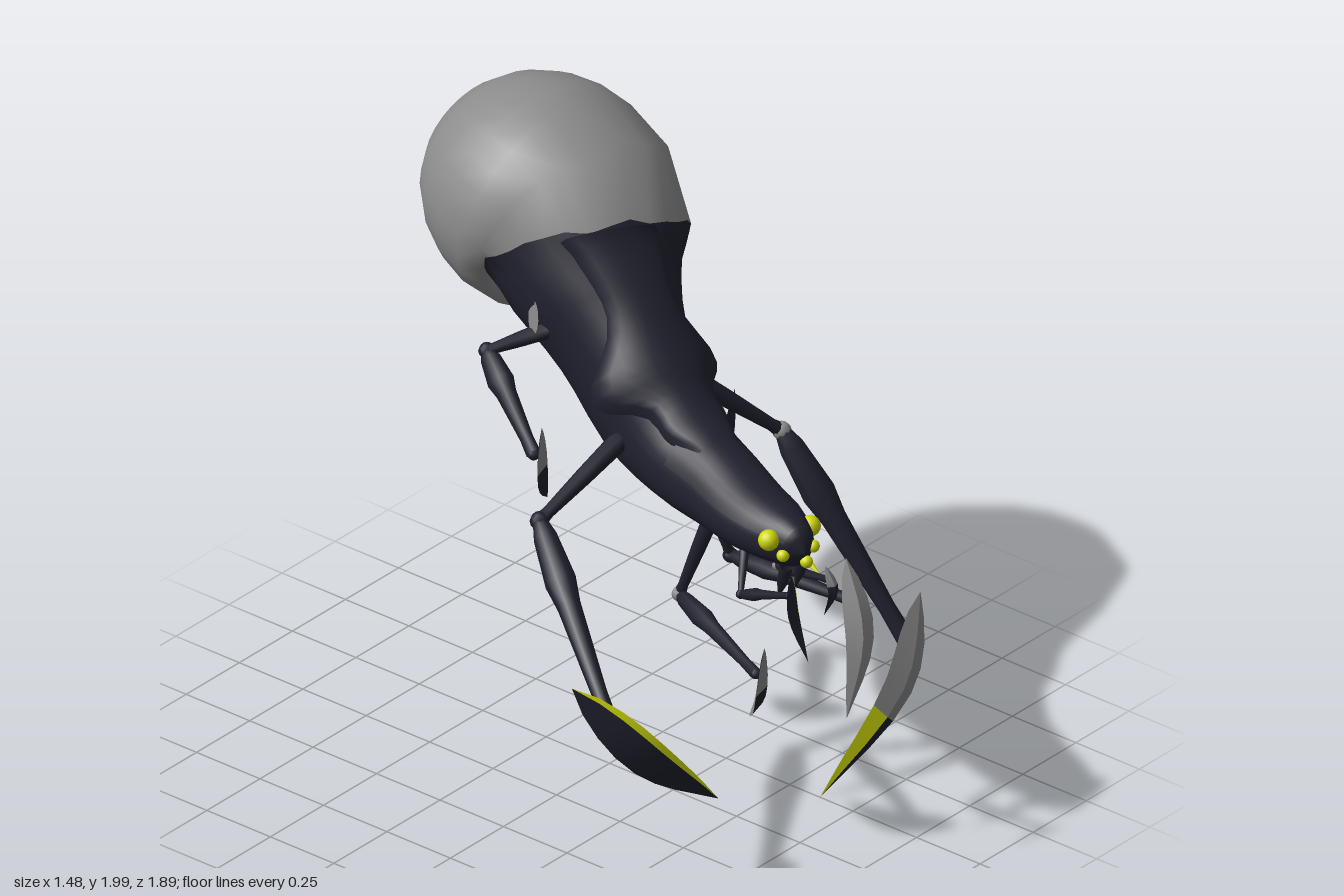
import * as THREE from 'three';

const paint = (name, color) => {
  const m = new THREE.MeshStandardMaterial({ color, side: THREE.DoubleSide });
  m.name = name;
  return m;
};
const V = (x, y, z) => new THREE.Vector3(x, y, z);
const UP = V(0, 1, 0);

export function createModel() {
  const model = new THREE.Group();
  model.name = 'insect';
  const mats = { d: paint('dark shell', 0x20212e), g: paint('grey', 0x8c8c8c), y: paint('yellow', 0xd0da06) };
  const keys = Object.keys(mats);
  const palette = Object.values(mats);

  const add = (parent, name, geo, mat) => {
    const m = new THREE.Mesh(geo, mat);
    m.name = name;
    parent.add(m);
    return m;
  };

  // Sheet f(rowFraction, colFraction), coloured row by row
  function sheet(parent, name, f, rows, cols, closed, colourOf) {
    const pos = [], idx = [], geo = new THREE.BufferGeometry();
    const n = closed ? cols : cols + 1;
    for (let r = 0; r <= rows; r++)
      for (let c = 0; c < n; c++) pos.push(...f(r / rows, c / cols).toArray());
    for (let r = 0; r < rows; r++) {
      geo.addGroup(idx.length, cols * 6, keys.indexOf(colourOf(r)));
      for (let c = 0; c < cols; c++) {
        const a = r * n + c, b = r * n + ((c + 1) % n);
        idx.push(a, b, a + n, b, b + n, a + n);
      }
    }
    geo.setAttribute('position', new THREE.Float32BufferAttribute(pos, 3));
    geo.setIndex(idx);
    geo.computeVertexNormals();
    add(parent, name, geo, palette);
  }

  // Body sections: centre, half width, half height, from the head backwards
  const centres = [], sizes = [];
  const section = (x, y, z, w, h) => {
    centres.push(V(x, y, z));
    sizes.push(V(w, h, 0));
  };
  section(-0.085, 1.085, 0.84, 0, 0);
  section(-0.07, 1.09, 0.8, 0.058, 0.068);
  section(-0.035, 1.09, 0.68, 0.105, 0.093);
  section(0.0, 1.09, 0.55, 0.122, 0.11);
  section(0.05, 1.1, 0.4, 0.13, 0.135);
  section(0.1, 1.12, 0.22, 0.145, 0.16);
  section(0.15, 1.2, 0.04, 0.16, 0.22);
  section(0.21, 1.35, -0.13, 0.2, 0.235);
  section(0.27, 1.49, -0.28, 0.28, 0.265);
  // Round abdomen
  for (let k = 0; k <= 5; k++) {
    const q = -0.36 + k * (Math.PI / 2 + 0.36) / 5, s = Math.sin(q), r = 0.375 * Math.cos(q);
    section(0.355 + 0.05 * s, 1.64 + 0.1 * s, -0.54 - 0.39 * s, r, r * 0.96);
  }
  const last = centres.length - 1;
  const spine = new THREE.CatmullRomCurve3(centres);
  const girth = new THREE.CatmullRomCurve3(sizes, false, 'catmullrom', 0.5);

  // Point on the body: u counts sections, a is the angle from the top
  function bodyPoint(u, a, wide = 1, tall = 1) {
    const t = Math.min(u / last, 1);
    const tan = spine.getTangent(t);
    const right = V(0, 0, 0).crossVectors(tan, UP).normalize();
    const up = V(0, 0, 0).crossVectors(right, tan);
    const r = girth.getPoint(t);
    return spine.getPoint(t)
      .addScaledVector(right, r.x * wide * Math.sin(a))
      .addScaledVector(up, r.y * tall * Math.cos(a));
  }

  // Body with a ragged border between dark thorax and grey abdomen
  const border = (a) => 8.52 - 0.2 * Math.cos(a) + 0.04 * Math.sin(7 * a) + 0.03 * Math.sin(11 * a);
  const darkRows = 26, greyRows = 8;
  sheet(model, 'body', (t, c) => {
    const a = c * Math.PI * 2, r = t * (darkRows + greyRows), b = border(a);
    return bodyPoint(r <= darkRows ? b * r / darkRows : b + (last - b) * (r - darkRows) / greyRows, a);
  }, darkRows + greyRows, 28, true, (r) => (r < darkRows ? 'd' : 'g'));

  // Raised back plate with flared shoulders and a lifted front lip
  sheet(model, 'backPlate', (t, c) => {
    const u = 4.05 + 4.2 * t, v = c * 2 - 1;
    const flare = Math.exp(-(((u - 6.15) / 0.55) ** 2));
    const lip = 0.13 * Math.exp(-(((u - 4.9) / 0.6) ** 2));
    const lift = Math.abs(v) > 0.99 || t === 0 ? 0.98 : 1.08 + lip;
    return bodyPoint(u, v * (0.55 + 0.75 * flare + 2 * lip), lift + 0.36 * flare, lift);
  }, 18, 12, false, () => 'd');

  // Head hood
  sheet(model, 'headHood', (t, c) => bodyPoint(0.95 + 3.7 * t, (c * 2 - 1) * 1.2, 1.03, 1.06),
    10, 12, false, () => 'd');

  // Grey patch on the flank
  const patch = add(model, 'sidePatch', new THREE.CircleGeometry(0.058, 14), mats.g);
  patch.position.copy(bodyPoint(7.6, -1.5, 1.03, 1.03));
  patch.lookAt(bodyPoint(7.6, -1.5, 2, 2));
  patch.scale.x = 0.5;

  // Eyes
  const eye = (r, x, y, z) =>
    add(model, 'eye', new THREE.SphereGeometry(r, 14, 10), mats.y).position.set(x, y, z);
  eye(0.033, -0.135, 1.12, 0.74);
  eye(0.033, 0.012, 1.12, 0.78);
  eye(0.02, -0.122, 1.077, 0.785);
  eye(0.02, -0.027, 1.083, 0.825);
  eye(0.02, -0.065, 1.047, 0.83);

  // Tapered limb segment between two points
  function segment(parent, name, p, q, profile, radius, mat) {
    const d = q.clone().sub(p), len = d.length();
    const pts = profile.map(([t, r]) => new THREE.Vector2(r * radius, t * len));
    const m = add(parent, name, new THREE.LatheGeometry(pts, 8), mat);
    m.position.copy(p);
    m.quaternion.setFromUnitVectors(UP, d.normalize());
  }
  const thigh = [[0, 0.6], [0.12, 1], [0.5, 0.85], [0.9, 0.6], [1, 0.75]];
  const shin = [[0, 0.45], [0.08, 0.75], [0.3, 1], [0.42, 0.75], [0.85, 0.5], [1, 0.55]];

  // Curved blade foot: a ridge splits the front into two bevels, the back is shallow
  function blade(parent, curve, n, width, ridge, [bevelA, bevelB, back]) {
    const face = (name, from, to, crest, height, colours) =>
      sheet(parent, name, (t, c) => {
        const v = from + (to - from) * c;
        const side = V(0, 0, 0).crossVectors(curve.getTangent(t), n).normalize();
        const w = width * Math.max(0, Math.sin(Math.PI * t ** 0.8));
        const rise = v < crest ? (v + 1) / (crest + 1) : (1 - v) / (1 - crest);
        return curve.getPoint(t).addScaledVector(side, w * v).addScaledVector(n, w * height * rise);
      }, 8, 2, false, (r) => colours[r]);
    face('bladeBevel', -1, ridge, ridge, 0.4, bevelA);
    face('bladeBevel', ridge, 1, ridge, 0.4, bevelB);
    face('bladeBack', 1, -1, 0, -0.2, back);
  }

  // Limb: thigh, shin ending behind the blade, and the blade itself
  function limb(name, [hip, knee], path, facing, [thighR, shinR, bladeW], ridge, colours, kneeColour = 'd') {
    const g = new THREE.Group();
    g.name = name;
    model.add(g);
    const curve = new THREE.CatmullRomCurve3(path), n = facing.normalize();
    const ankle = curve.getPoint(0.28).addScaledVector(n, -0.55 * shinR);
    segment(g, 'thigh', hip, knee, thigh, thighR, mats.d);
    segment(g, 'shin', knee, ankle, shin, shinR, mats.d);
    add(g, 'knee', new THREE.SphereGeometry(thighR * 0.95, 8, 6), mats[kneeColour]).position.copy(knee);
    add(g, 'ankle', new THREE.SphereGeometry(shinR * 0.5, 8, 6), mats.d).position.copy(ankle);
    blade(g, curve, n, bladeW, ridge, colours);
  }
  // Blade colours run from heel to tip: bevel, bevel, back
  const D = 'dddddddd', G = 'gggggggg', Y = 'yyyyyyyy', greyHeel = 'gggddddd';
  const rear = [0.028, 0.042, 0.052], middle = [0.026, 0.034, 0.053], palp = [0.016, 0.021, 0.025];

  limb('rightFrontLeg', [V(0.02, 1.17, 0.05), V(-0.33, 1, 0)],
    [V(-0.74, 0.77, 0.47), V(-0.57, 0.51, 0.63), V(-0.3, 0.27, 0.68)],
    V(-0.2, -0.3, 0.9), [0.032, 0.05, 0.064], -0.7, [Y, D, 'yygggggg']);
  limb('leftFrontLeg', [V(0.27, 1.28, 0.03), V(0.56, 1, 0.21)],
    [V(0.735, 0.51, 0.61), V(0.55, 0.29, 0.68), V(0.25, 0.01, 0.62)],
    V(-0.22, -0.2, 1), [0.032, 0.055, 0.078], 0.1, ['gggggddd', 'gggggyyy', D], 'g');
  limb('leftRearLeg', [V(0.45, 1.46, -0.15), V(0.64, 1.25, -0.53)],
    [V(0.53, 1.1, 0.05), V(0.46, 0.9, 0.06), V(0.41, 0.72, 0)],
    V(0.3, -0.1, 1), rear, 0, [D, D, Y]);
  limb('rightRearLeg', [V(0.04, 1.42, -0.25), V(-0.04, 1.3, -0.45)],
    [V(-0.2, 1.23, -0.1), V(-0.13, 1.02, -0.16), V(-0.03, 0.87, -0.22)],
    V(0.5, 0, 1), rear, 0, [greyHeel, greyHeel, D]);
  limb('leftMiddleLeg', [V(0.18, 1.02, 0.2), V(0.27, 0.71, 0.25)],
    [V(0.24, 0.89, 0.73), V(0.15, 0.7, 0.86), V(0.04, 0.48, 0.9)],
    V(-0.3, 0.2, 1), middle, 0, [G, G, D]);
  limb('rightMiddleLeg', [V(0.06, 1.02, 0.37), V(0.03, 0.68, 0.25)],
    [V(-0.18, 0.77, 0.76), V(-0.12, 0.56, 0.69), V(0, 0.38, 0.55)],
    V(0.45, -0.2, 0.9), middle, 0, [greyHeel, greyHeel, 'dddggggg'], 'g');
  limb('rightPalp', [V(-0.08, 1.03, 0.6), V(-0.16, 0.91, 0.65)],
    [V(-0.21, 1.09, 0.89), V(-0.21, 0.95, 0.9), V(-0.2, 0.8, 0.95)],
    V(0, 0, 1), palp, -0.5, ['yyyydddd', D, D]);
  limb('leftPalp', [V(0.06, 1.03, 0.66), V(0.07, 0.89, 0.6)],
    [V(0, 1.01, 0.85), V(-0.01, 0.94, 0.89), V(-0.03, 0.86, 0.87)],
    V(0, 0, 1), palp, 0, [greyHeel, greyHeel, 'yyyygggg'], 'g');

  // Fangs under the head, and a yellow feeler beside them
  const spike = [[0, 1], [0.5, 0.8], [1, 0]];
  for (const x of [-0.1, -0.02])
    segment(model, 'fang', V(x, 1.03, 0.78), V(x + 0.01, 0.9, 0.74), spike, 0.022, mats.d);
  segment(model, 'feeler', V(0.06, 0.97, 0.71), V(0.04, 0.94, 0.8), spike, 0.012, mats.y);

  return model;
}
